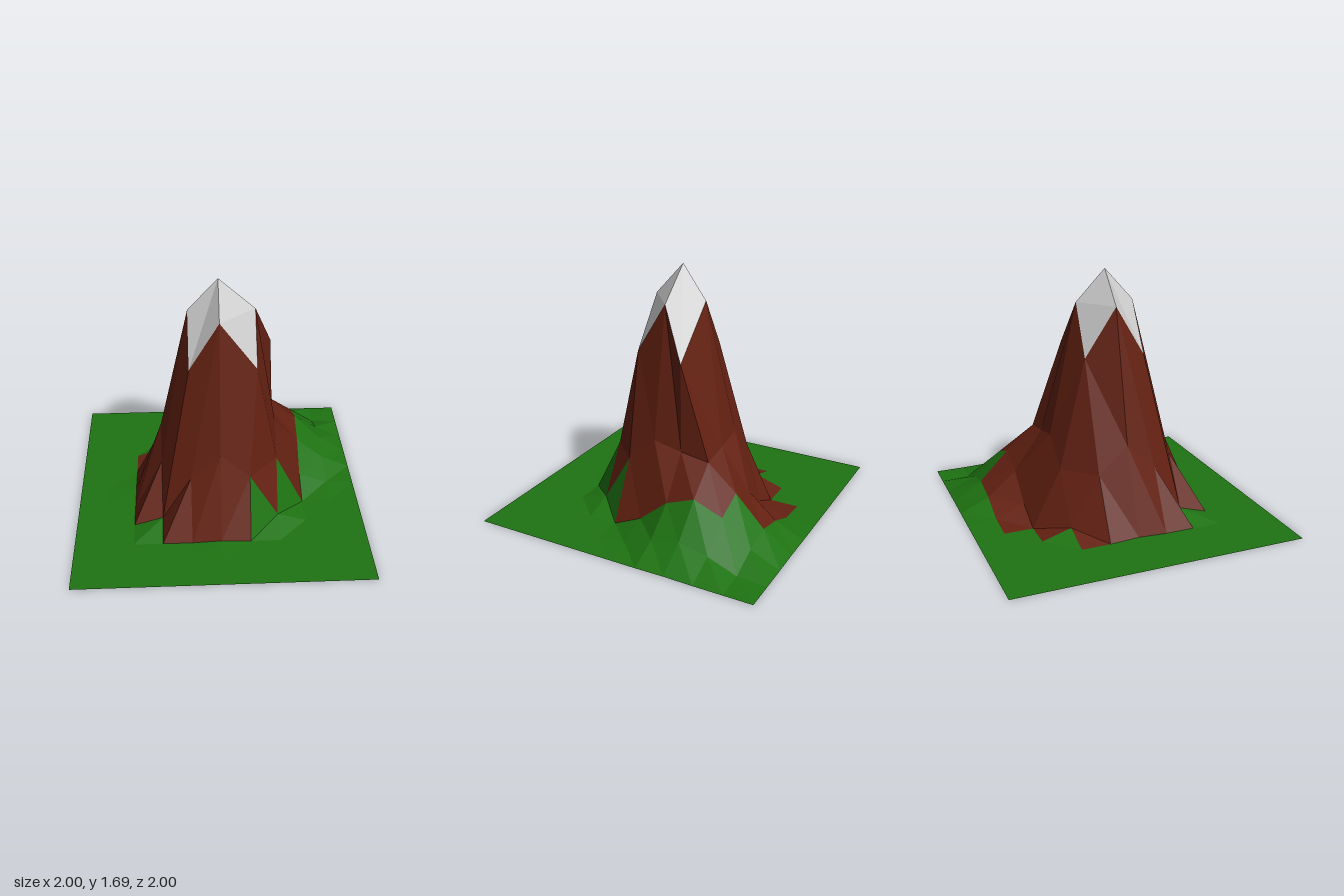
import * as THREE from 'three';

const STEP = 0.2, CELLS = 10;

// Height of the main peak against distance from its axis
const PROFILE = [[0, 1.69], [0.2, 1.47], [0.283, 1.13], [0.4, 0.58], [0.447, 0.4], [0.566, 0.06], [0.6, 0.01], [0.632, 0]];

function slope(r) {
  for (let i = 1; i < PROFILE.length; i++) {
    const [r0, h0] = PROFILE[i - 1], [r1, h1] = PROFILE[i];
    if (r <= r1) return h0 + (h1 - h0) * (r - r0) / (r1 - r0);
  }
  return 0;
}

// Grid points pulled out of line, keyed by column,row
const MOVED = {
  '6,4': [0.37, 1.13, -0.18],  // overhanging shoulder
  '4,4': [-0.15, 1.13, -0.2],
  '5,4': [0.04, 1.47, -0.19],
  '6,5': [0.245, 1.47, 0],
  '6,6': [0.25, 1.13, 0.205],
  '7,4': [0.4, 0.54, -0.2],    // saddle between peak and foothill
  '6,3': [0.2, 0.54, -0.4],
  '7,3': [0.4, 0.51, -0.4],
};

function point(i, j) {
  const moved = MOVED[i + ',' + j];
  if (moved) return moved;
  const x = (i - 5) * STEP, z = (j - 5) * STEP;
  const peak = slope(Math.hypot(x, z));
  const foothill = 0.23 * slope(Math.hypot(x - 0.4, z + 0.4));
  return [x, Math.max(peak, foothill), z];
}

// One letter per grid cell, back row first: g grass, r rock, s snow
const COVER = [
  'gggggggggg',
  'ggggrrrggg',
  'gggrrrrrgg',
  'ggrrrrrrgg',
  'ggrrssrrgg',
  'ggrrssrrgg',
  'ggrrrrrggg',
  'gggrrrgggg',
  'gggggggggg',
  'gggggggggg',
];

// All terrain cells with one kind of cover
function terrain(name, letter, color) {
  const positions = [];
  for (let j = 0; j < CELLS; j++) {
    for (let i = 0; i < CELLS; i++) {
      if (COVER[j][i] !== letter) continue;
      const a = point(i, j), b = point(i, j + 1);
      const c = point(i + 1, j + 1), d = point(i + 1, j);
      positions.push(...a, ...b, ...d, ...b, ...c, ...d);
    }
  }
  const geometry = new THREE.BufferGeometry();
  geometry.setAttribute('position', new THREE.Float32BufferAttribute(positions, 3));
  geometry.computeVertexNormals();
  const mesh = new THREE.Mesh(geometry, new THREE.MeshStandardMaterial({
    color, flatShading: true, side: THREE.DoubleSide,
  }));
  mesh.name = name;
  return mesh;
}

export function createModel() {
  const group = new THREE.Group();
  group.name = 'mountain';
  group.add(
    terrain('grassland', 'g', 0x1e7312),
    terrain('rockSlopes', 'r', 0x642112),
    terrain('snowCap', 's', 0xcccccc),
  );
  return group;
}
